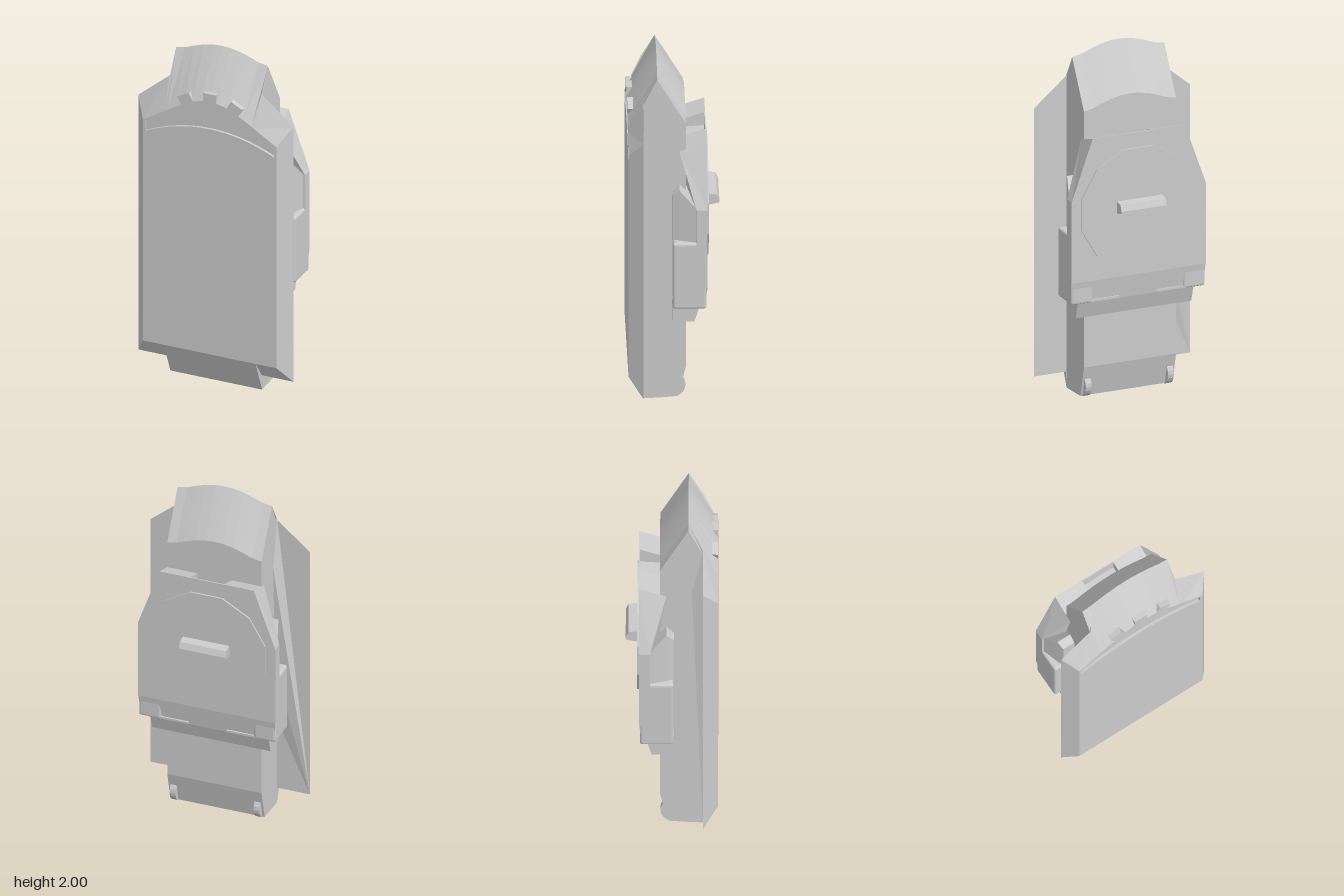
import * as THREE from 'three';
import { RoundedBoxGeometry } from 'three/addons/geometries/RoundedBoxGeometry.js';

const material = new THREE.MeshStandardMaterial({ color: 0xcccccc, flatShading: true });
const V2 = ([x, y]) => new THREE.Vector2(x, y);

// Right half of an outline (from bottom centre up to top centre) mirrored to a full counter-clockwise loop
const mirror = (half) => [...half, ...half.slice().reverse().map(([x, y, z]) => [-x, y, z])];

// Joins matching loops, ordered from back to front, and caps both ends
function loft(loops) {
  const pos = [];
  const tri = (a, b, c) => pos.push(...a, ...b, ...c);
  const n = loops[0].length;
  for (let k = 0; k < loops.length - 1; k++) {
    const A = loops[k], B = loops[k + 1];
    for (let i = 0; i < n; i++) {
      const j = (i + 1) % n;
      tri(A[i], A[j], B[j]);
      tri(A[i], B[j], B[i]);
    }
  }
  const cap = (loop, front) => {
    for (const [a, b, c] of THREE.ShapeUtils.triangulateShape(loop.map(V2), [])) {
      if (front) tri(loop[a], loop[b], loop[c]);
      else tri(loop[a], loop[c], loop[b]);
    }
  };
  cap(loops[0], false);
  cap(loops[loops.length - 1], true);
  const g = new THREE.BufferGeometry();
  g.setAttribute('position', new THREE.Float32BufferAttribute(pos, 3));
  g.computeVertexNormals();
  return g;
}

export function createModel() {
  const group = new THREE.Group();
  const add = (name, geometry, x = 0, y = 0, z = 0) => {
    const m = new THREE.Mesh(geometry, material);
    m.name = name;
    m.position.set(x, y, z);
    group.add(m);
    return m;
  };
  const box = (name, w, h, d, x, y, z) => add(name, new THREE.BoxGeometry(w, h, d), x, y, z);

  // Arched ridge shared by the front panel and the core
  const ridge = [[0.275, 1.935], [0.22, 1.945], [0.17, 1.965], [0.11, 1.985], [0.05, 1.997], [0, 2]];

  // Front panel with bevelled edges and a sloping top
  const outer = mirror([
    [0, 0, 0.165], [0.275, 0, 0.165], [0.275, 0.09, 0.17], [0.465, 0.09, 0.17],
    [0.465, 1.64, 0.17], [0.275, 1.8, 0.17], ...ridge.map(([x, y]) => [x, y, 0.09]),
  ]);
  const inner = [
    [0, 0.195], [0.275, 0.195], [0.275, 0.195], [0.4, 0.195], [0.4, 1.54], [0.27, 1.62],
    [0.25, 1.632], [0.2, 1.662], [0.15, 1.69], [0.1, 1.713], [0.05, 1.726], [0, 1.73],
  ];
  const innerAt = (z) => mirror(inner.map(([x, y]) => [x, y, z]));
  add('frontPanel', loft([outer, innerAt(0.25), innerAt(0.235)]));

  // Front face with a shallow arched window below the top edge
  const face = new THREE.Shape(innerAt(0).map(V2));
  const sill = [];
  for (let i = 0; i <= 16; i++) {
    const x = -0.385 + (0.77 * i) / 16;
    sill.push(new THREE.Vector2(x, 1.565 - 0.09 * (x / 0.385) ** 2));
  }
  const brow = mirror([[0.385, 1.537], [0.25, 1.622], [0.15, 1.68], [0.08, 1.71]]).map(V2);
  face.holes.push(new THREE.Path([...sill, ...brow]));
  add('frontFace', new THREE.ExtrudeGeometry(face, { depth: 0.015, bevelEnabled: false }), 0, 0, 0.235);

  // Three small blocks on the brow
  for (const s of [-1, 0, 1]) {
    const b = box('browBlock', 0.078, 0.065, 0.04, s * 0.145, s ? 1.712 : 1.745, 0.23);
    b.rotation.z = -s * 0.5;
  }

  // Core body running behind the panel
  const coreLoop = (z, bottom, drop) => mirror([
    [0, bottom, z], [0.275, bottom, z], ...ridge.map(([x, y]) => [x, y - drop, z]),
  ]);
  add('coreBody', loft([
    coreLoop(-0.065, 0.19, 0.265), coreLoop(-0.02, 0.012, 0.188),
    coreLoop(0.09, 0.004, 0), coreLoop(0.165, 0.001, 0.15),
  ]));

  // Round feet at the lower back corners
  for (const s of [-1, 1]) {
    const foot = new THREE.CylinderGeometry(0.068, 0.068, 0.035, 20).rotateZ(Math.PI / 2);
    add('foot', foot, s * 0.245, 0.072, 0.005);
  }

  // Back plate, notched at the top
  const plateBack = [[0, 0.73], [0.4, 0.73], [0.4, 1.2], [0.275, 1.55], [0.1, 1.55], [0.1, 1.47], [0, 1.47]];
  const plateFront = [[0, 0.73, -0.06], [0.4, 0.73, -0.12], [0.4, 1.2, -0.12], [0.275, 1.5, -0.03],
    [0.1, 1.5, -0.03], [0.1, 1.46, -0.03], [0, 1.46, -0.03]];
  add('backPlate', loft([mirror(plateBack.map(([x, y]) => [x, y, -0.18])), mirror(plateFront)]));
  box('notchWall', 0.2, 0.08, 0.006, 0, 1.51, -0.177);

  // Shoulders between the plate and the core
  const block = (z, x, y0, y1) => mirror([[x, y0, z], [x, y1, z]]);
  add('shoulders', loft([
    block(-0.125, 0.39, 0.98, 1.2), block(-0.03, 0.36, 0.98, 1.3), block(0.01, 0.345, 0.98, 1.26),
  ]));

  // Lower housing and base lip
  add('lowerHousing', loft([
    block(-0.18, 0.4, 0.73, 0.74), block(-0.16, 0.39, 0.6, 0.74), block(-0.05, 0.39, 0.6, 0.74),
  ]));
  add('baseLip', loft([
    block(-0.14, 0.345, 0.595, 0.62), block(-0.11, 0.345, 0.5, 0.62), block(0.01, 0.345, 0.5, 0.62),
  ]));

  // Side grips and rear ledges
  for (const s of [-1, 1]) {
    add('sideGrip', new RoundedBoxGeometry(0.13, 0.4, 0.183, 2, 0.015), s * 0.335, 0.8, -0.083);
    box('rearLedge', 0.26, 0.012, 0.03, s * 0.24, 0.612, -0.157);
  }

  // Twelve-sided disc and its turning handle
  const disc = new THREE.CylinderGeometry(0.355, 0.355, 0.012, 12).rotateY(Math.PI / 12).rotateX(Math.PI / 2);
  add('disc', disc, 0, 1.12, -0.183);
  add('handle', loft([
    block(-0.252, 0.135, 1.118, 1.13), block(-0.237, 0.135, 1.113, 1.165), block(-0.18, 0.135, 1.1, 1.172),
  ]));

  return group;
}
